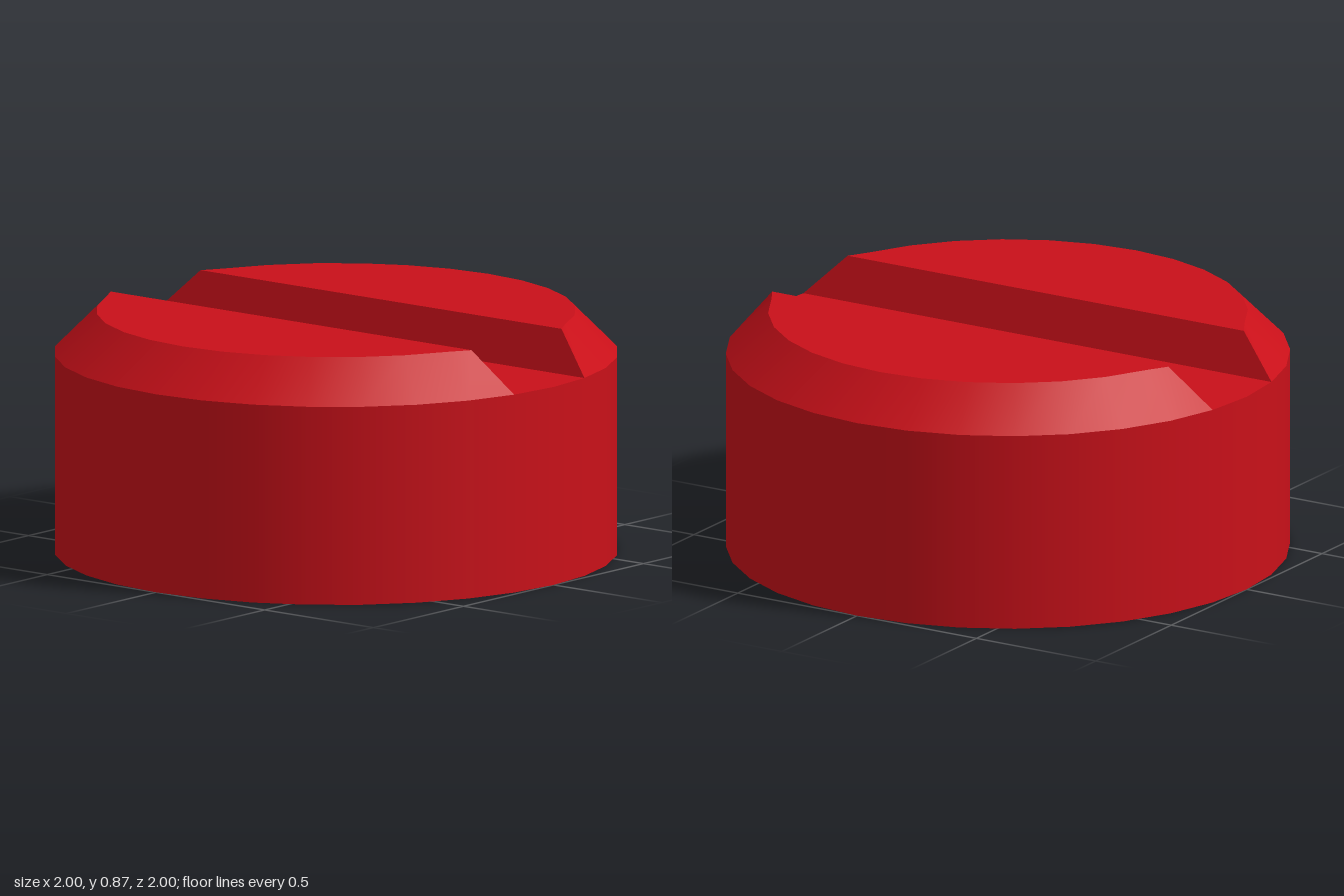
import * as THREE from 'three';

const SEGMENTS = 32, RIM_Y = 0.715, TOP_Y = 0.865, TOP_R = 0.85;
const material = new THREE.MeshStandardMaterial({ color: 0xc91019, side: THREE.DoubleSide });

// Point on a ring; index 0 is at the front and runs towards +x
function ringPoint(i, radius, y) {
  const a = (i / SEGMENTS) * Math.PI * 2;
  return [Math.sin(a) * radius, y, Math.cos(a) * radius];
}

function surface(name, points, index) {
  const geometry = new THREE.BufferGeometry();
  geometry.setAttribute('position', new THREE.Float32BufferAttribute(points.flat(), 3));
  geometry.setIndex(index);
  geometry.computeVertexNormals();
  const mesh = new THREE.Mesh(geometry, material);
  mesh.name = name;
  return mesh;
}

// Raised segment on the +x side of the slot
function createRaisedHalf(name) {
  const half = new THREE.Group();
  half.name = name;
  const rim = [], top = [];
  const last = SEGMENTS / 2 - 1;
  for (let i = 1; i <= last; i++) {
    rim.push(ringPoint(i, 1, RIM_Y));
    if (i === 1) top.push([0.25, TOP_Y, 0.83]);
    else if (i === last) top.push([0.25, TOP_Y, -0.83]);
    else top.push(ringPoint(i, TOP_R, TOP_Y));
  }
  const n = rim.length;

  // Sloping edge between rim and top
  const bevel = [];
  for (let i = 0; i < n - 1; i++) bevel.push(i, i + 1, n + i + 1, i, n + i + 1, n + i);
  half.add(surface('bevel', [...rim, ...top], bevel));

  // Flat top
  const cap = [];
  for (let i = 0; i < n; i++) cap.push(n, i, (i + 1) % n);
  half.add(surface('topFace', [...top, [0.4, TOP_Y, 0]], cap));

  // Slanted side of the slot
  half.add(surface('slotSide', [rim[n - 1], rim[0], top[0], top[n - 1]], [0, 1, 2, 0, 2, 3]));
  return half;
}

export function createModel() {
  const model = new THREE.Group();
  model.name = 'slottedCap';

  // Open-bottomed thin wall
  const wall = new THREE.Mesh(
    new THREE.CylinderGeometry(1, 1, RIM_Y, SEGMENTS, 1, true), material);
  wall.name = 'sideWall';
  wall.position.y = RIM_Y / 2;
  model.add(wall);

  // Floor of the slot, reaching the rim at both ends
  const h = SEGMENTS / 2;
  const floor = [-1, 0, 1, h - 1, h, h + 1].map((i) => ringPoint(i, 1, RIM_Y));
  model.add(surface('slotFloor', floor, [0, 1, 2, 0, 2, 3, 0, 3, 5, 3, 4, 5]));

  // Two raised halves, the second turned half way round
  const left = createRaisedHalf('leftHalf');
  const right = createRaisedHalf('rightHalf');
  right.rotation.y = Math.PI;
  model.add(left, right);
  return model;
}
